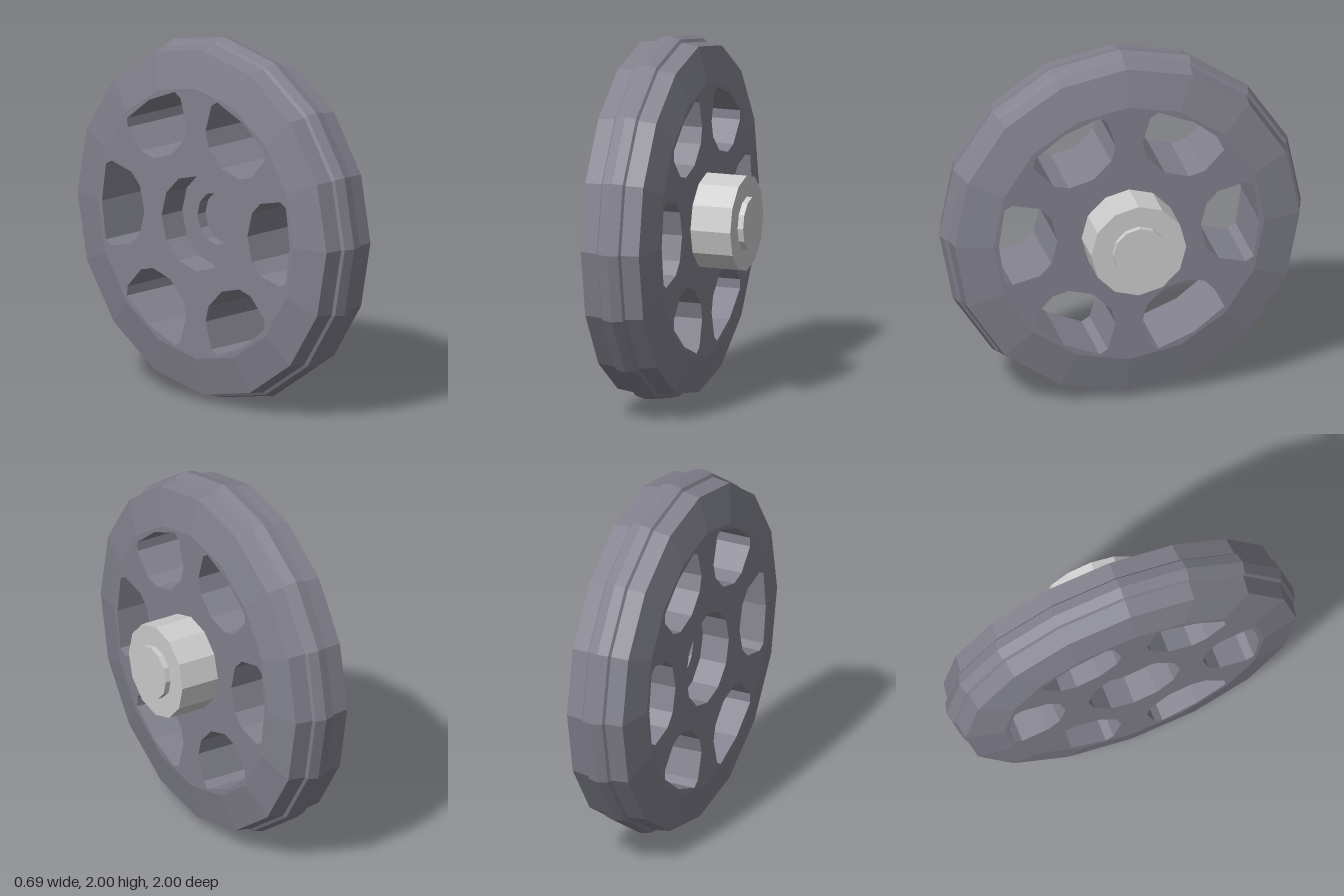
import * as THREE from 'three';

const BACK = -0.345, FACE = 0.08, MID = (BACK + FACE) / 2;

// Regular polygon as a list of 2D points, first corner on the x axis
function polygon(radius, sides) {
  return Array.from({ length: sides }, (_, i) => {
    const a = (i / sides) * Math.PI * 2;
    return new THREE.Vector2(radius * Math.cos(a), radius * Math.sin(a));
  });
}

// Lathe around the x axis from [radius, x] pairs running toward +x
function latheX(profile, sides) {
  const points = profile.map(([r, x]) => new THREE.Vector2(r, x));
  return new THREE.LatheGeometry(points, sides).rotateZ(-Math.PI / 2);
}

export function createModel() {
  const group = new THREE.Group();
  const rubber = new THREE.MeshStandardMaterial({ color: 0x82818d, flatShading: true });
  const metal = new THREE.MeshStandardMaterial({ color: 0xcccccc, flatShading: true });

  function add(name, geometry, material) {
    const mesh = new THREE.Mesh(geometry, material);
    mesh.name = name;
    mesh.position.y = 1;
    group.add(mesh);
  }

  // Rim: bevelled shoulders and a raised central band, mirrored about the mid plane
  const half = [[0.75, 0.2125], [0.955, 0.166], [0.968, 0.068], [0.985, 0.058]];
  const rim = [
    ...half.map(([r, d]) => [r, MID - d]),
    [1, MID],
    ...half.slice().reverse().map(([r, d]) => [r, MID + d]),
  ];
  add('rim', latheX(rim, 16), rubber);

  // Spoked disc: six rounded windows and a central bore
  const disc = new THREE.Shape(polygon(0.75, 16));
  disc.holes.push(new THREE.Path(polygon(0.263, 12)));
  const side = [[0.43, 0.135], [0.495, 0.2], [0.645, 0.235], [0.69, 0.21]];
  const windowPoints = [
    [0.395, 0], ...side.map(([r, t]) => [r, -t]),
    [0.72, 0], ...side.slice().reverse(),
  ];
  for (let i = 0; i < 6; i++) {
    const turn = (i * Math.PI) / 3;
    const points = windowPoints.map(([r, t]) =>
      new THREE.Vector2(r, t).rotateAround(new THREE.Vector2(), turn));
    disc.holes.push(new THREE.Path(points));
  }
  const discGeometry = new THREE.ExtrudeGeometry(disc, { depth: FACE - BACK, bevelEnabled: false });
  discGeometry.translate(0, 0, BACK).rotateY(Math.PI / 2);
  add('spokedDisc', discGeometry, rubber);

  // Stepped floor of the recess on the inner side
  add('hubRecess', latheX([[0, -0.13], [0.145, -0.13], [0.145, -0.19], [0.263, -0.19]], 12), rubber);

  // Hub with the axle end standing slightly proud
  add('hub', latheX([[0.263, -0.1], [0.263, 0.308], [0.147, 0.308]], 12), metal);
  add('axleEnd', latheX([[0.147, 0.308], [0.147, 0.34], [0, 0.34]], 12), metal);

  return group;
}
